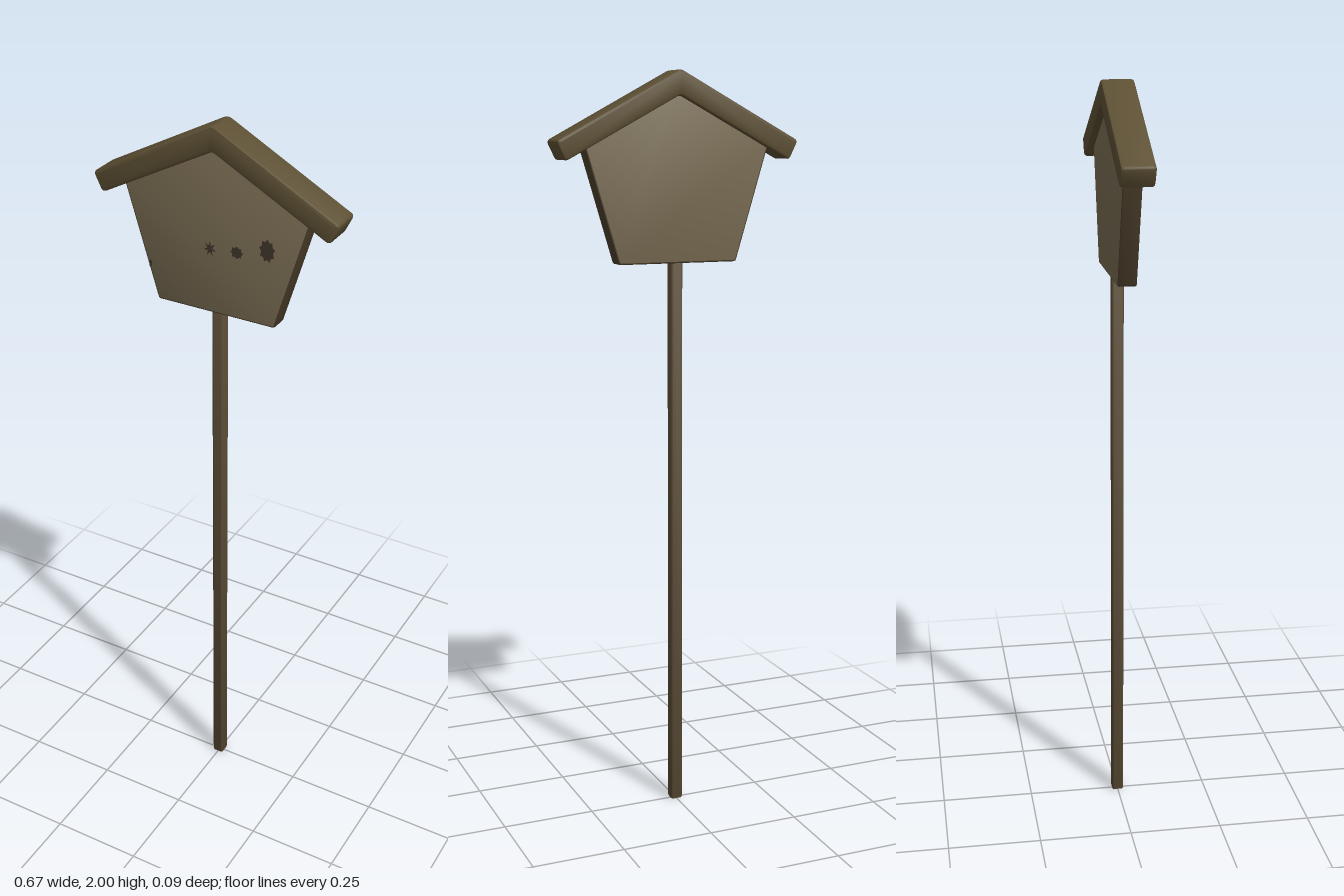
import * as THREE from 'three';
import { toCreasedNormals } from 'three/addons/utils/BufferGeometryUtils.js';

// Closed outline with its corners rounded by distance r
function roundedShape(points, r) {
  const p = points.map(([x, y]) => new THREE.Vector2(x, y));
  const shape = new THREE.Shape();
  p.forEach((c, i) => {
    const prev = p[(i + p.length - 1) % p.length], next = p[(i + 1) % p.length];
    const a = c.clone().add(prev.clone().sub(c).setLength(r));
    const b = c.clone().add(next.clone().sub(c).setLength(r));
    if (i === 0) shape.moveTo(a.x, a.y); else shape.lineTo(a.x, a.y);
    shape.quadraticCurveTo(c.x, c.y, b.x, b.y);
  });
  shape.closePath();
  return shape;
}

// Bevelled slab, centred in depth, that stays within its outline
function slab(shape, depth, bevel) {
  const geo = new THREE.ExtrudeGeometry(shape, {
    depth: depth - 2 * bevel, bevelEnabled: true, bevelThickness: bevel,
    bevelSize: bevel, bevelOffset: -bevel, bevelSegments: 2, curveSegments: 3,
  });
  geo.translate(0, 0, -depth / 2 + bevel);
  return toCreasedNormals(geo, 0.6);
}

export function createModel() {
  const group = new THREE.Group();
  const material = (name, color) => new THREE.MeshStandardMaterial({ name, color });
  const boardFace = material('pale board', 0x776a51);
  const boardEdge = material('board edge', 0x4b3e2b);
  const roofWood = material('roof wood', 0x5d5034);
  const postWood = material('post wood', 0x5a4b35);
  const knotWood = material('dark knot', 0x40362a);

  const add = (name, geo, mat) => {
    const mesh = new THREE.Mesh(geo, mat);
    mesh.name = name;
    group.add(mesh);
    return mesh;
  };

  // Square post with softened edges
  const h = 0.016;
  const post = slab(roundedShape([[-h, -h], [h, -h], [h, h], [-h, h]], 0.006), 1.54, 0.005);
  post.rotateX(-Math.PI / 2).translate(0, 0.77, 0);
  add('post', post, postWood);

  // Five-sided sign board, tucked under the roof
  const board = [[-0.166, 1.507], [0.166, 1.507], [0.262, 1.825], [0, 1.96], [-0.262, 1.825]];
  add('board', slab(roundedShape(board, 0.006), 0.049, 0.004), [boardFace, boardEdge]);

  // Gabled roof
  const roof = [[0, 2.002], [-0.338, 1.822], [-0.313, 1.771], [0, 1.937], [0.313, 1.771], [0.338, 1.822]];
  add('roof', slab(roundedShape(roof, 0.01), 0.087, 0.008), roofWood);

  // Ragged knots in the front of the board: x, y, width, height, points, inner ratio
  [
    [-0.015, 1.681, 0.018, 0.021, 7, 0.4],
    [0.06, 1.687, 0.018, 0.017, 8, 0.75],
    [0.143, 1.711, 0.022, 0.031, 9, 0.75],
    [-0.187, 1.602, 0.006, 0.012, 5, 0.6],
  ].forEach(([x, y, rx, ry, n, inner]) => {
    const star = new THREE.Shape();
    for (let i = 0; i < n * 2; i++) {
      const a = Math.PI / 2 + (i / n) * Math.PI, k = i % 2 ? inner : 1;
      star[i ? 'lineTo' : 'moveTo'](Math.cos(a) * rx * k, Math.sin(a) * ry * k);
    }
    add('knot', new THREE.ShapeGeometry(star), knotWood).position.set(x, y, 0.0255);
  });

  return group;
}
